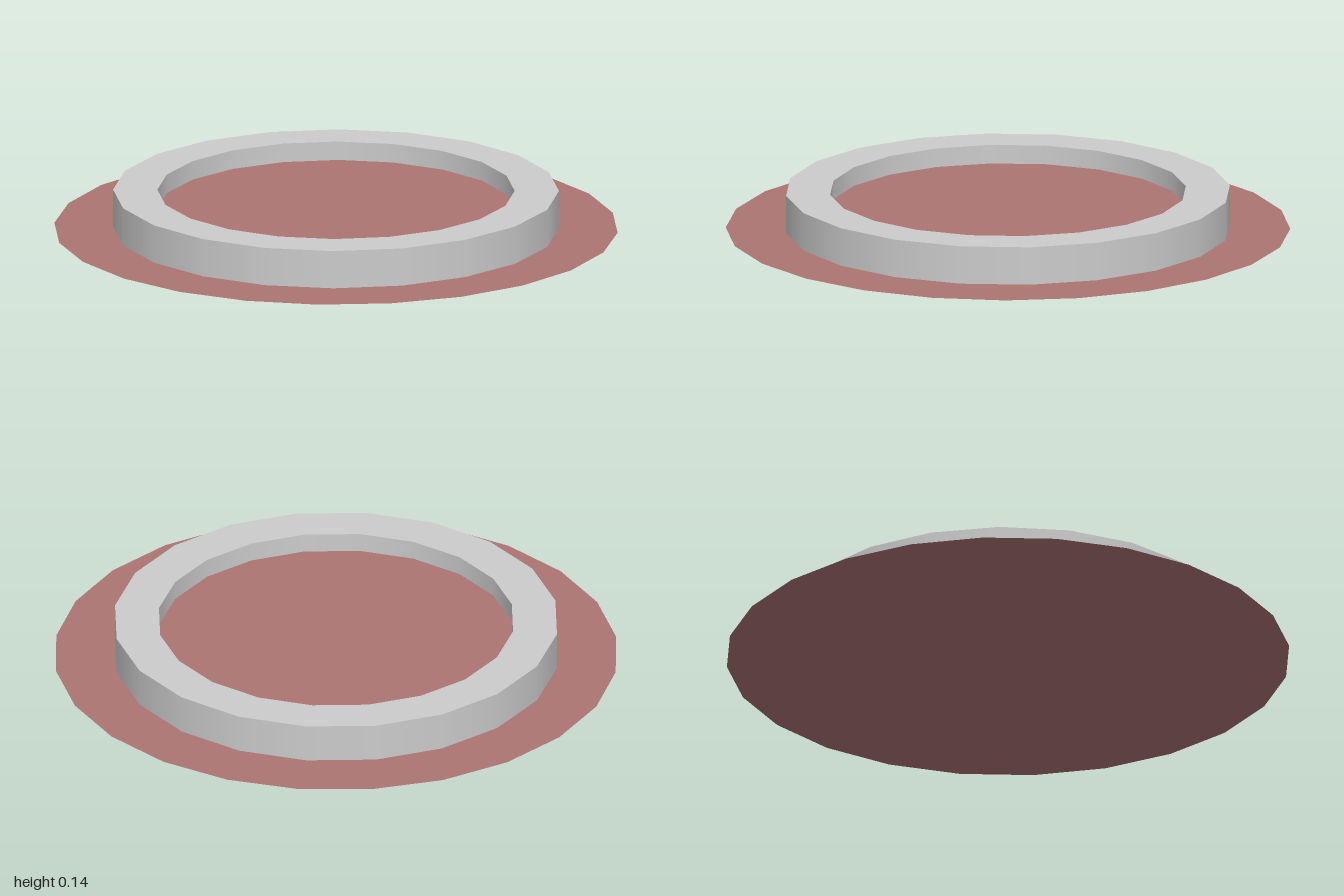
import * as THREE from 'three';
import { mergeGeometries } from 'three/addons/utils/BufferGeometryUtils.js';

const BASE_RADIUS = 1, OUTER = 0.79, INNER = 0.633, HEIGHT = 0.138, FLOOR = 0.07;
const LIFT = 0.001; // keeps the ring's underside clear of the disc

// Lathe each profile edge separately: smooth around, sharp at the rims.
function latheSharp(profile, sides) {
  const points = profile.map(([r, y]) => new THREE.Vector2(r, y));
  const geometry = mergeGeometries(points.map((p, i) =>
    new THREE.LatheGeometry([p, points[(i + 1) % points.length]], sides)));
  geometry.normalizeNormals();
  return geometry;
}

// Flat horizontal disc at a given height, seen from both sides.
function makeDisc(name, radius, sides, y, material) {
  const disc = new THREE.Mesh(
    new THREE.CircleGeometry(radius, sides).rotateX(-Math.PI / 2), material);
  disc.name = name;
  disc.position.y = y;
  return disc;
}

export function createModel() {
  const model = new THREE.Group();
  model.name = 'ringOnDisc';

  // Wide disc on the ground and a raised floor halfway up inside the ring
  const red = new THREE.MeshStandardMaterial({ color: 0xac7573, side: THREE.DoubleSide });
  model.add(
    makeDisc('baseDisc', BASE_RADIUS, 24, 0, red),
    makeDisc('innerFloor', INNER, 20, FLOOR, red));

  // Raised ring: outer wall, top, inner wall, underside
  const ring = new THREE.Mesh(
    latheSharp([[OUTER, LIFT], [OUTER, HEIGHT], [INNER, HEIGHT], [INNER, LIFT]], 20),
    new THREE.MeshStandardMaterial({ color: 0xcccccc }));
  ring.name = 'raisedRing';
  model.add(ring);

  return model;
}
